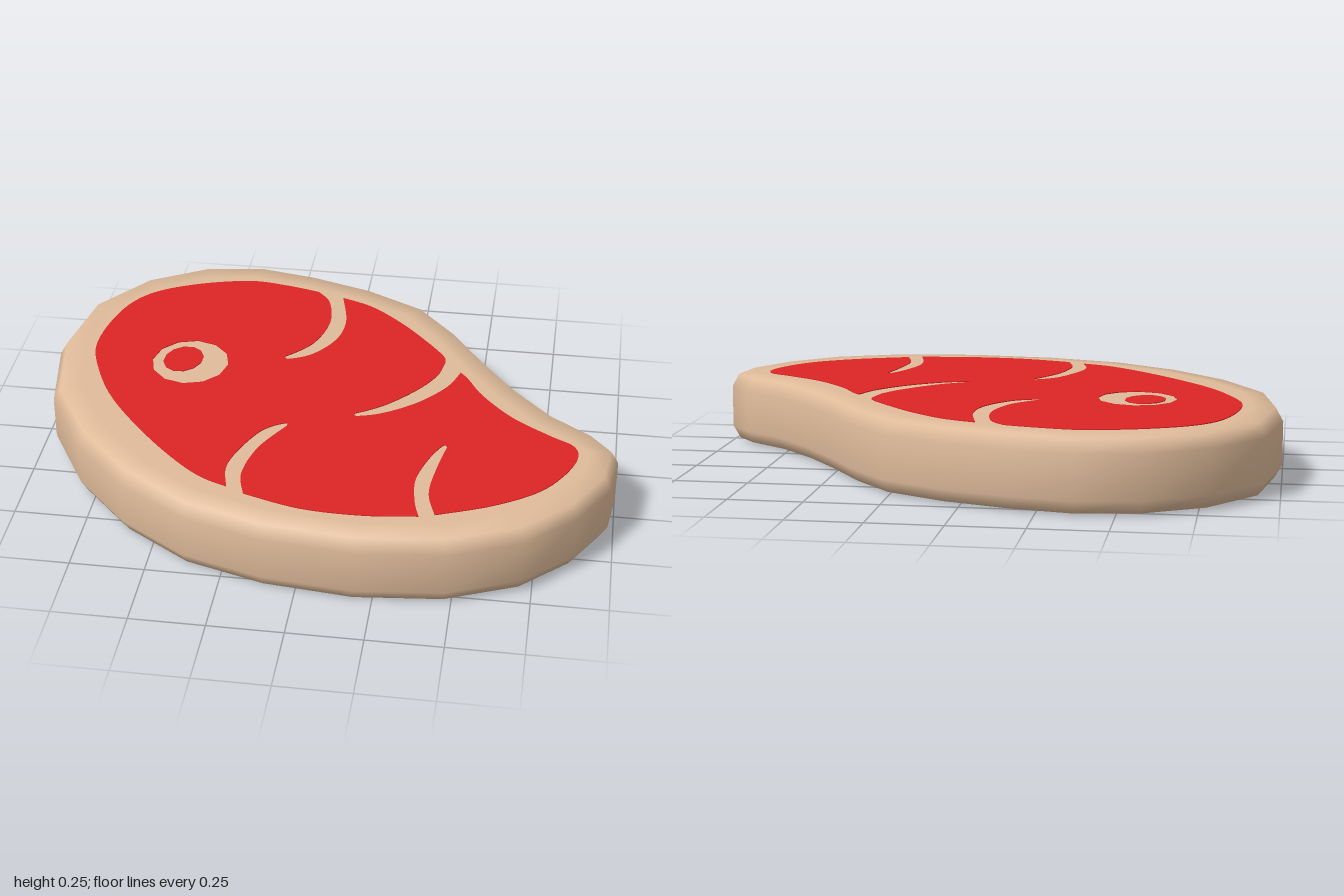
import * as THREE from 'three';

// Outer rim of the slab as (x, z)
const RIM = [
  [-0.37, -0.84], [-0.16, -0.8], [0.06, -0.73], [0.27, -0.62], [0.41, -0.46], [0.53, -0.28],
  [0.65, -0.12], [0.78, 0.02], [0.92, 0.12], [1, 0.22], [0.98, 0.38], [0.88, 0.55],
  [0.72, 0.7], [0.48, 0.8], [0.19, 0.83], [-0.11, 0.8], [-0.38, 0.72], [-0.61, 0.57],
  [-0.8, 0.37], [-0.95, 0.11], [-1, -0.19], [-0.95, -0.48], [-0.79, -0.69], [-0.58, -0.81],
];

// Meat outline as (x, z): smooth runs joined by corners, alternating edge and vein sides
const MEAT_START = [-0.13, -0.66];
const MEAT_RUNS = [
  // back vein
  [[-0.08, -0.59], [-0.06, -0.45], [-0.1, -0.3], [-0.185, -0.2]],
  [[-0.17, -0.185], [-0.09, -0.23], [-0.02, -0.34], [-0.003, -0.47], [-0.035, -0.63]],
  [[0.08, -0.58], [0.2, -0.48], [0.3, -0.37], [0.37, -0.28], [0.38, -0.24]],
  // middle vein
  [[0.36, -0.15], [0.3, -0.05], [0.2, 0.06], [0.105, 0.125]],
  [[0.115, 0.14], [0.2, 0.11], [0.31, 0.03], [0.4, -0.08], [0.44, -0.18]],
  [[0.47, -0.14], [0.53, -0.04], [0.64, 0.08], [0.77, 0.17], [0.85, 0.22], [0.865, 0.29],
    [0.82, 0.4], [0.74, 0.5], [0.6, 0.59], [0.43, 0.66]],
  // front left vein
  [[0.4, 0.55], [0.41, 0.42], [0.435, 0.28]],
  [[0.42, 0.275], [0.38, 0.36], [0.35, 0.48], [0.36, 0.6], [0.38, 0.675]],
  [[0.2, 0.695], [0, 0.685], [-0.19, 0.63]],
  // front right vein
  [[-0.215, 0.52], [-0.185, 0.37], [-0.11, 0.23]],
  [[-0.12, 0.215], [-0.19, 0.27], [-0.25, 0.4], [-0.27, 0.5], [-0.25, 0.6]],
  [[-0.37, 0.54], [-0.54, 0.38], [-0.72, 0.16], [-0.82, -0.03], [-0.865, -0.2], [-0.83, -0.42],
    [-0.75, -0.56], [-0.6, -0.65], [-0.4, -0.705], [-0.25, -0.69], [-0.13, -0.66]],
];

const toPlane = ([x, z]) => new THREE.Vector2(x, -z);

// Rim moved inwards along its corner normals
function insetRim(d) {
  const n = RIM.length;
  return RIM.map(([x, z], i) => {
    const [px, pz] = RIM[(i + n - 1) % n];
    const [qx, qz] = RIM[(i + 1) % n];
    const len = Math.hypot(qx - px, qz - pz);
    return [x - ((qz - pz) / len) * d, z + ((qx - px) / len) * d];
  });
}

// Slab lofted through bevelled rings and closed with a cap at each end
function slabGeometry() {
  const rings = [[0.1, 0.003], [0.025, 0.008], [0, 0.052], [0, 0.2], [0.025, 0.245], [0.1, 0.25]];
  const n = RIM.length;
  const pos = [];
  const index = [];
  for (const [d, y] of rings) for (const [x, z] of insetRim(d)) pos.push(x, y, z);
  const bottom = rings.length * n;
  const top = bottom + 1;
  pos.push(0, 0.003, 0.1, 0, 0.25, 0.1);
  for (let i = 0; i < n; i++) {
    const j = (i + 1) % n;
    for (let r = 0; r < rings.length - 1; r++) {
      const a = r * n + i, b = r * n + j;
      index.push(a, a + n, b, b, a + n, b + n);
    }
    const last = (rings.length - 1) * n;
    index.push(bottom, i, j, top, last + j, last + i);
  }
  const geo = new THREE.BufferGeometry();
  geo.setAttribute('position', new THREE.Float32BufferAttribute(pos, 3));
  geo.setIndex(index);
  geo.computeVertexNormals();
  return geo;
}

// Thin plate lying flat, with its underside at y = 0
function plateGeometry(shape) {
  const geo = new THREE.ExtrudeGeometry(shape, { depth: 0.004, bevelEnabled: false, curveSegments: 6 });
  return geo.rotateX(-Math.PI / 2);
}

export function createModel() {
  const fat = new THREE.MeshStandardMaterial({ name: 'fat', color: 0xdfbb9a });
  const meat = new THREE.MeshStandardMaterial({ name: 'meat', color: 0xdd2424 });
  const group = new THREE.Group();
  group.name = 'steak';

  const add = (name, geometry, material, y = 0) => {
    const mesh = new THREE.Mesh(geometry, material);
    mesh.name = name;
    mesh.position.y = y;
    group.add(mesh);
  };

  add('fatSlab', slabGeometry(), fat);

  // Meat face with vein notches and a hole for the bone
  const face = new THREE.Shape();
  face.moveTo(MEAT_START[0], -MEAT_START[1]);
  for (const run of MEAT_RUNS) face.splineThru(run.map(toPlane));
  const boneHole = new THREE.Path();
  boneHole.absellipse(-0.51, 0.12, 0.135, 0.142, 0, Math.PI * 2);
  face.holes.push(boneHole);

  // Marrow inside the bone ring
  const marrow = new THREE.Shape();
  marrow.absellipse(-0.538, 0.135, 0.068, 0.083, 0, Math.PI * 2, false, -0.25);

  // Same pattern on both sides
  for (const [side, y] of [['top', 0.249], ['bottom', 0]]) {
    add(side + 'Meat', plateGeometry(face), meat, y);
    add(side + 'Marrow', plateGeometry(marrow), meat, y);
  }
  return group;
}
